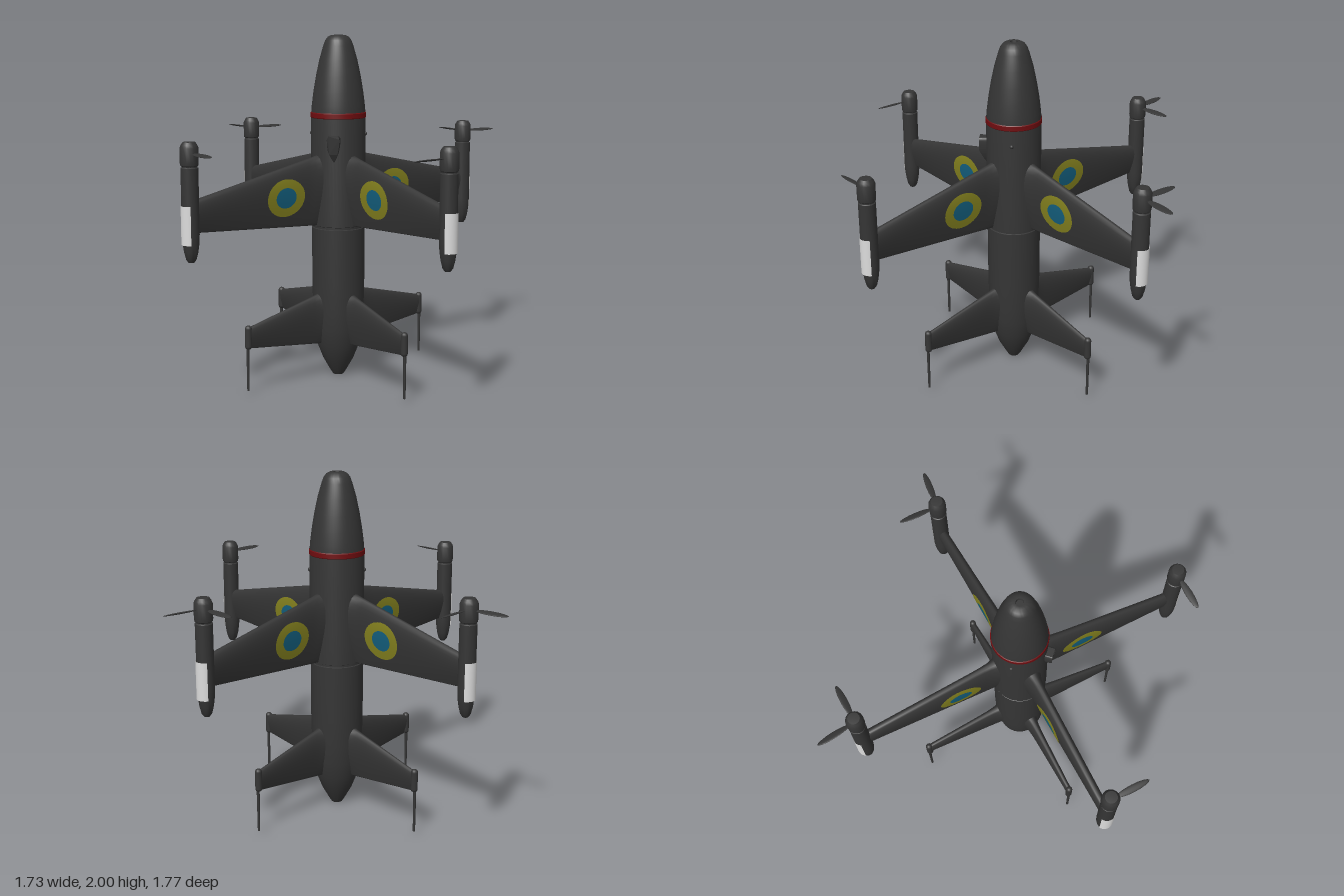
import * as THREE from 'three';
import { toCreasedNormals } from 'three/addons/utils/BufferGeometryUtils.js';

const paint = (name, color, side = THREE.FrontSide) => {
  const m = new THREE.MeshStandardMaterial({ color, side });
  m.name = name;
  return m;
};

function add(parent, name, geometry, material, x = 0, y = 0, z = 0) {
  const mesh = new THREE.Mesh(geometry, material);
  mesh.name = name;
  mesh.position.set(x, y, z);
  parent.add(mesh);
  return mesh;
}

// Turned part from [radius, height] pairs, listed bottom to top
function turned(profile, sides) {
  const g = new THREE.LatheGeometry(profile.map(([r, y]) => new THREE.Vector2(r, y)), sides);
  return toCreasedNormals(g, 0.6);
}

// Linear taper between the root and tip stations of a surface
const taper = (s, r, a, b) => a + (b - a) * (r - s.r0) / (s.r1 - s.r0);

// Half thickness of a symmetric airfoil at span r and chord fraction u, with a root fillet
function halfThickness(s, r, u) {
  const t = taper(s, r, s.thick[0], s.thick[1]) + 0.05 * Math.exp(-Math.max(0, r - s.r0) / 0.035);
  return 5 * t * (0.2969 * Math.sqrt(u) - 0.126 * u - 0.3516 * u * u + 0.2843 * u ** 3 - 0.1015 * u ** 4);
}

// Surface lofted outward along x, chord running down y
function airfoilSurface(s) {
  const spans = 16, n = 14, ring = 2 * n, pos = [], index = [];
  for (let i = 0; i <= spans; i++) {
    const f = i / spans, r = s.r0 - 0.05 + (s.r1 - s.r0 + 0.07) * f ** 1.6;
    const top = taper(s, r, s.top[0], s.top[1]), bottom = taper(s, r, s.bottom[0], s.bottom[1]);
    for (let j = 0; j < ring; j++) {
      const u = (1 - Math.cos(Math.PI * j / n)) / 2;
      pos.push(r, top + (bottom - top) * u, (j <= n ? 1 : -1) * halfThickness(s, r, u));
    }
  }
  for (let i = 0; i < spans; i++) {
    for (let j = 0; j < ring; j++) {
      const a = i * ring + j, b = i * ring + (j + 1) % ring;
      index.push(a, b, a + ring, b, b + ring, a + ring);
    }
  }
  const g = new THREE.BufferGeometry();
  g.setAttribute('position', new THREE.Float32BufferAttribute(pos, 3));
  g.setIndex(index);
  g.computeVertexNormals();
  return g;
}

// Painted ring that follows the skin of a surface; side is +1 or -1
function skinRing(s, inner, outer, cx, cy, side) {
  const g = new THREE.RingGeometry(inner, outer, 40, 8);
  if (side < 0) g.rotateY(Math.PI);
  const p = g.attributes.position;
  for (let i = 0; i < p.count; i++) {
    const x = cx + p.getX(i) * 0.126, y = cy + p.getY(i) * 0.108;
    const top = taper(s, x, s.top[0], s.top[1]), bottom = taper(s, x, s.bottom[0], s.bottom[1]);
    p.setXYZ(i, x, y, side * (halfThickness(s, x, (top - y) / (top - bottom)) + 0.003));
  }
  g.computeVertexNormals();
  return g;
}

// Slender propeller blade pointing along +x
function bladeGeometry() {
  const g = new THREE.SphereGeometry(1, 16, 10);
  g.scale(0.1, 0.005, 0.021);
  g.rotateX(0.25);
  g.translate(0.135, 0, 0);
  return g;
}

export function createModel() {
  const dark = paint('charcoal', 0x353535);
  const red = paint('dark red', 0x700d10);
  const yellow = paint('mustard yellow', 0x85821f);
  const blue = paint('deep blue', 0x14607f);
  const white = paint('off white', 0xdcdcdc, THREE.DoubleSide);

  const model = new THREE.Group();
  model.name = 'fourWingDrone';

  // Fuselage with a seam groove and a small socket in the nose
  add(model, 'fuselage', turned([
    [0, 0], [0.032, 0], [0.045, 0.02], [0.09, 0.1], [0.125, 0.19], [0.142, 0.29], [0.149, 0.4],
    [0.153, 0.55], [0.154, 0.893], [0.148, 0.896], [0.148, 0.908], [0.157, 0.912], [0.157, 1.55],
    [0.153, 1.6], [0.143, 1.68], [0.128, 1.77], [0.109, 1.86], [0.086, 1.94], [0.075, 1.97],
    [0.06, 1.99], [0.04, 2], [0.022, 2], [0.02, 1.985], [0, 1.985]
  ], 48), dark);
  add(model, 'noseBand', turned([[0.156, 1.53], [0.16, 1.535], [0.16, 1.56], [0.154, 1.566]], 48), red);

  // Teardrop sensor fairing on the front
  const drop = new THREE.Shape();
  drop.moveTo(-0.026, 0.075);
  drop.lineTo(0.026, 0.075);
  drop.quadraticCurveTo(0.036, 0.07, 0.036, 0.05);
  drop.quadraticCurveTo(0.036, -0.02, 0, -0.08);
  drop.quadraticCurveTo(-0.036, -0.02, -0.036, 0.05);
  drop.quadraticCurveTo(-0.036, 0.07, -0.026, 0.075);
  const fairing = new THREE.ExtrudeGeometry(drop, { depth: 0.06, bevelEnabled: false, curveSegments: 10 });
  // Slope the outer face back into the hull towards the lower point
  const fp = fairing.attributes.position;
  for (let i = 0; i < fp.count; i++) {
    if (fp.getZ(i) > 0.03) fp.setZ(i, 0.06 - Math.max(0, -fp.getY(i) - 0.005) * 0.5);
  }
  fairing.computeVertexNormals();
  add(model, 'sensorFairing', fairing, dark, 0, 1.365, 0.135);

  // Small pins either side
  for (const side of [-1, 1]) add(model, 'sidePin', new THREE.SphereGeometry(0.012, 10, 8), dark, side * 0.155, 1.44, 0);

  const wing = { r0: 0.14, r1: 0.96, top: [1.325, 1.145], bottom: [0.915, 0.965], thick: [0.07, 0.055] };
  const fin = { r0: 0.12, r1: 0.62, top: [0.515, 0.39], bottom: [0.205, 0.265], thick: [0.06, 0.035] };
  const wingGeo = airfoilSurface(wing), finGeo = airfoilSurface(fin), bladeGeo = bladeGeometry();
  const podGeo = turned([
    [0, 0.805], [0.016, 0.808], [0.028, 0.825], [0.038, 0.865], [0.045, 0.915], [0.047, 0.96],
    [0.047, 1.318], [0.042, 1.322], [0.042, 1.33]
  ], 24);
  const spinnerGeo = turned([
    [0.04, 1.325], [0.048, 1.332], [0.05, 1.345], [0.05, 1.425], [0.044, 1.44], [0.034, 1.455], [0, 1.457]
  ], 16);
  const panelGeo = new THREE.CylinderGeometry(0.051, 0.051, 0.21, 20, 1, true, Math.PI / 2 - 1.08, 2.16);
  const podR = 0.988;

  // Four arms around the hull; blades are [dx, dz] directions
  const arms = [
    { sx: 1, sz: 1, blades: [[-1, 1]] },
    { sx: -1, sz: 1, blades: [[1, 1]] },
    { sx: 1, sz: -1, blades: [[0.19, -0.15], [-0.15, -0.16]] },
    { sx: -1, sz: -1, blades: [[-0.19, -0.15], [0.15, -0.16]] }
  ];
  for (const { sx, sz, blades } of arms) {
    const yaw = Math.atan2(-sz * 0.715, sx * 0.683);
    const arm = new THREE.Group();
    arm.name = 'arm';
    arm.rotation.y = yaw;
    model.add(arm);

    add(arm, 'wing', wingGeo, dark);
    for (const side of [-1, 1]) {
      add(arm, 'roundelRing', skinRing(wing, 0.54, 1, 0.388, 1.1, side), yellow);
      add(arm, 'roundelCentre', skinRing(wing, 0, 0.54, 0.388, 1.1, side), blue);
    }

    // Motor pod, outer panel, spinner and blades
    add(arm, 'motorPod', podGeo, dark, podR);
    add(arm, 'podPanel', panelGeo, white, podR, 1.012);
    add(arm, 'spinner', spinnerGeo, dark, podR);
    for (const [dx, dz] of blades) {
      add(arm, 'propellerBlade', bladeGeo, dark, podR, 1.395).rotation.y = Math.atan2(-dz, dx) - yaw;
    }

    // Tail fin with rounded tip and landing leg
    add(arm, 'tailFin', finGeo, dark);
    add(arm, 'finTip', new THREE.CapsuleGeometry(0.02, 0.1, 6, 12), dark, 0.634, 0.33);
    add(arm, 'landingLeg', new THREE.CylinderGeometry(0.009, 0.007, 0.26, 10), dark, 0.639, 0.15);
  }
  return model;
}
